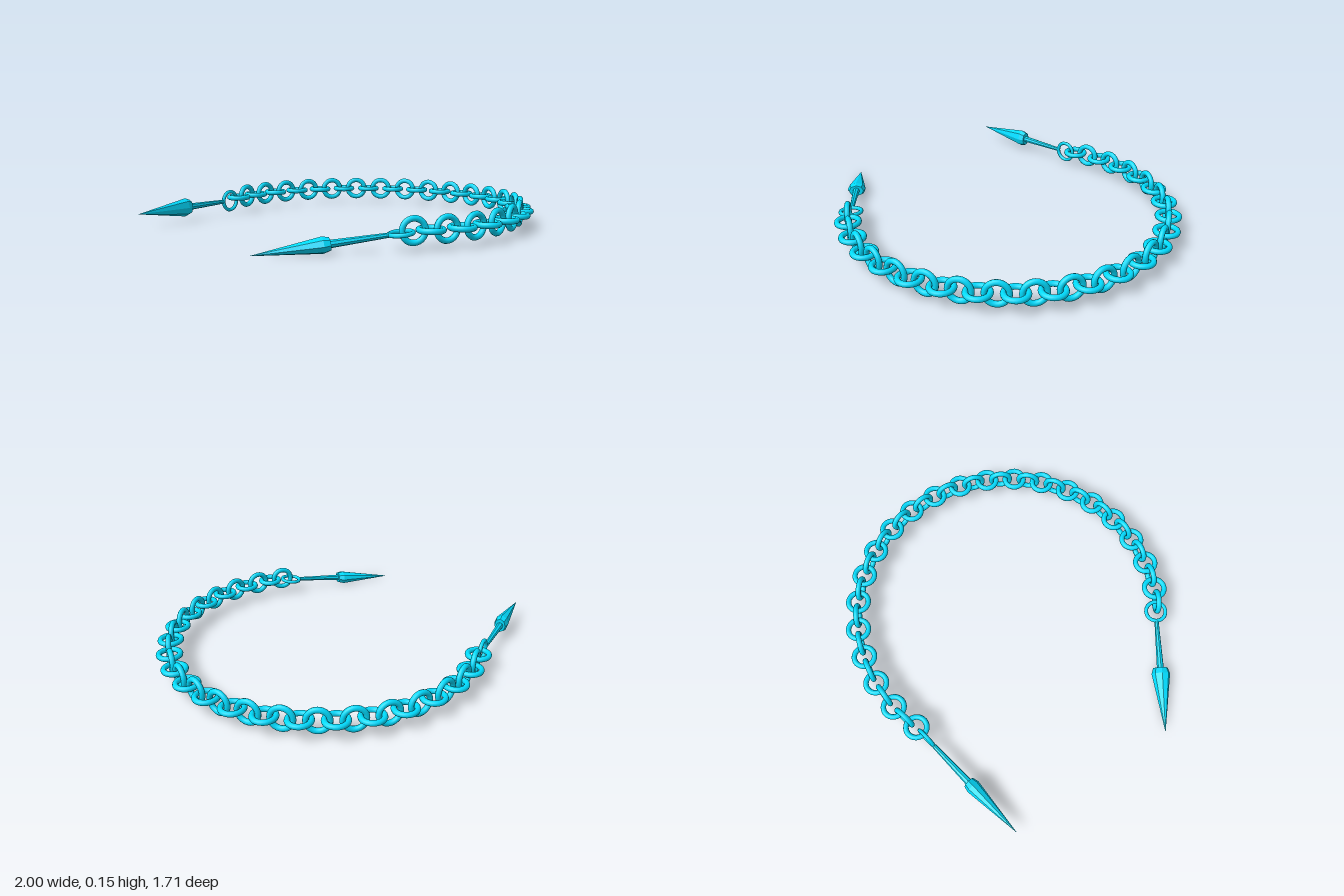
import * as THREE from 'three';

const COLOR = 0x00dcff;
const smooth = new THREE.MeshStandardMaterial({ color: COLOR });
const faceted = new THREE.MeshStandardMaterial({ color: COLOR, flatShading: true });

function addMesh(parent, name, geometry, material) {
  const mesh = new THREE.Mesh(geometry, material);
  mesh.name = name;
  parent.add(mesh);
  return mesh;
}

// Turned shape along +z from [distance, radius] pairs
function turned(profile, sides) {
  const points = profile.map(([s, r]) => new THREE.Vector2(r, s));
  return new THREE.LatheGeometry(points, sides).rotateX(Math.PI / 2);
}

// Dart with its eye at the origin and its tip along +z
function createDart(name, eye, tip, roll) {
  const dart = new THREE.Group();
  dart.name = name;
  const length = eye.distanceTo(tip);

  // Thin eye that hooks into the chain
  addMesh(dart, 'dartEye', new THREE.TorusGeometry(0.051, 0.01, 8, 24).rotateX(Math.PI / 2), smooth);

  // Shaft, thicker towards the head
  addMesh(dart, 'dartShaft', turned([[0.052, 0], [0.052, 0.011], [0.31, 0.018], [0.31, 0]], 8), faceted);

  // Flattened long head with a bevelled back
  const head = turned([[0.305, 0], [0.305, 0.038], [0.335, 0.048], [length, 0]], 8);
  head.scale(1, 0.76, 1);
  addMesh(dart, 'dartHead', head, faceted);

  dart.position.copy(eye);
  dart.lookAt(tip);
  dart.rotateZ(roll);
  return dart;
}

export function createModel() {
  const model = new THREE.Group();
  model.name = 'chainWithDarts';

  // Chain of round links, alternately lying flat and standing
  const chain = new THREE.Group();
  chain.name = 'chain';
  model.add(chain);
  const linkGeometry = new THREE.TorusGeometry(0.052, 0.0138, 10, 28);
  const flatGeometry = linkGeometry.clone().rotateX(Math.PI / 2);
  const step = Math.PI / 32;
  for (let i = -10; i <= 31; i++) {
    const flat = i % 2 === 0;
    const a = i * step;
    const link = addMesh(chain, flat ? 'flatLink' : 'standingLink', flat ? flatGeometry : linkGeometry, smooth);
    // The rear end of the arc is drawn in slightly towards its dart
    const pull = 0.0016 * Math.max(0, -i);
    link.position.set(0.14 + 0.79 * Math.sin(a), 0.085, pull - 0.79 * Math.cos(a));
    link.rotation.y = -a;
  }

  // Darts at both ends; the rear one is turned on its edge
  model.add(createDart('frontDart', new THREE.Vector3(0.165, 0.074, 0.782), new THREE.Vector3(-0.467, 0.004, 0.83), 0));
  model.add(createDart('rearDart', new THREE.Vector3(-0.565, 0.072, -0.37), new THREE.Vector3(-1, 0.073, 0.1), Math.PI / 2));

  return model;
}
